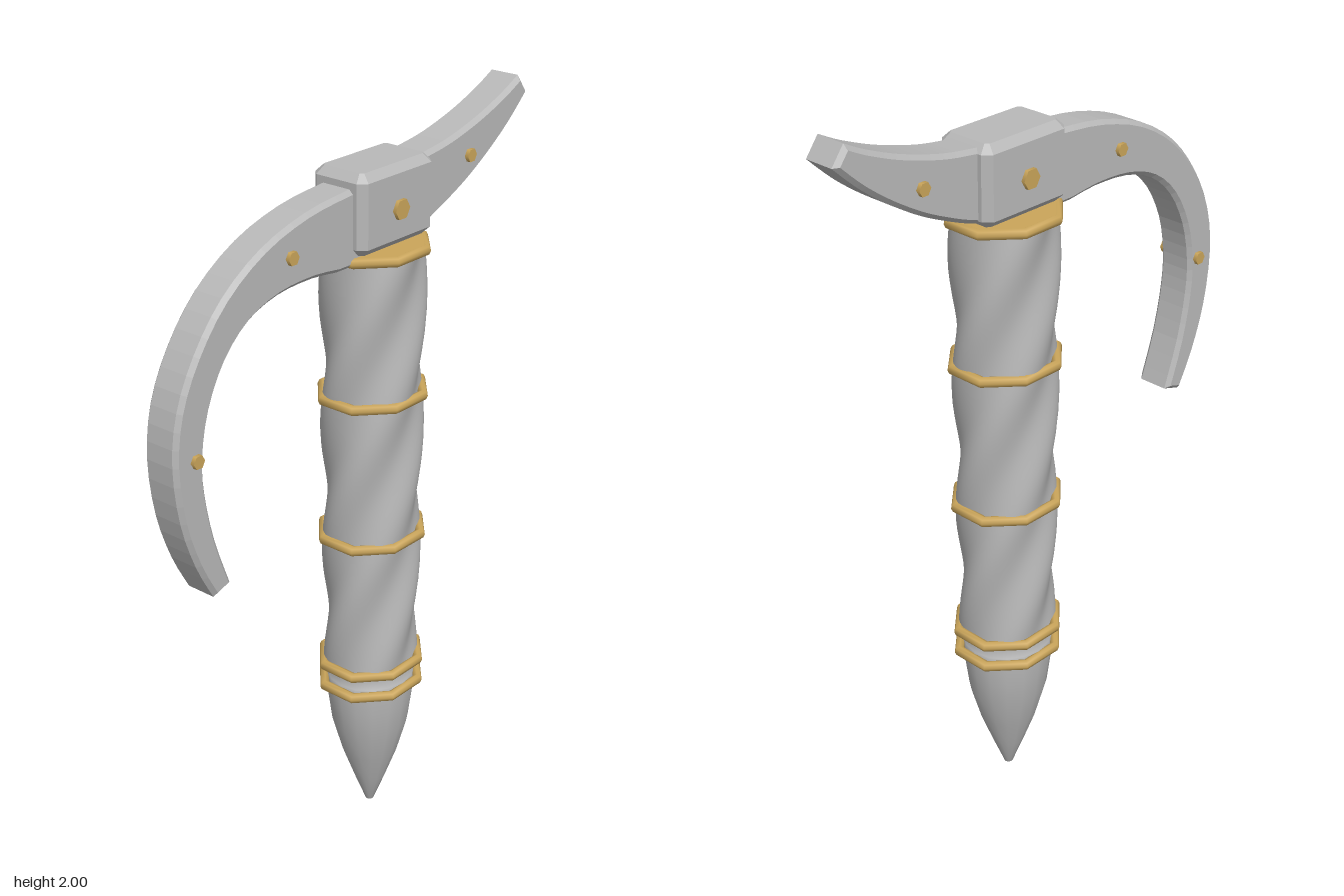
import * as THREE from 'three';

const AXIS = 0.094; // x of the shaft

export function createModel() {
  const model = new THREE.Group();
  const mat = (name, color, extra = {}) =>
    Object.assign(new THREE.MeshStandardMaterial({ color, ...extra }), { name });
  const steel = mat('steel', 0xb8b8b8);
  const gold = mat('gold', 0xcaa55a);

  const add = (name, geometry, material, x = 0, y = 0, z = 0) => {
    const mesh = new THREE.Mesh(geometry, material);
    mesh.name = name;
    mesh.position.set(x, y, z);
    model.add(mesh);
    return mesh;
  };

  // Four-lobed twisted shaft
  const bottom = 0.49, top = 1.68;
  const shaft = new THREE.CylinderGeometry(1, 1, top - bottom, 48, 48, true);
  shaft.translate(0, (top + bottom) / 2, 0);
  const p = shaft.attributes.position;
  for (let i = 0; i < p.count; i++) {
    const y = p.getY(i);
    const angle = Math.atan2(p.getX(i), p.getZ(i));
    const twist = ((y - 1.37) / 0.36) * (Math.PI / 2);
    const base = 0.128 + 0.007 * (y - bottom) / (top - bottom);
    const r = base * (1 + 0.07 * Math.cos(4 * (angle - twist)));
    p.setXYZ(i, r * Math.sin(angle), y, r * 0.91 * Math.cos(angle));
  }
  shaft.computeVertexNormals();
  // Match the normals on both sides of the seam
  const n = shaft.attributes.normal;
  const a = new THREE.Vector3(), b = new THREE.Vector3();
  for (let row = 0; row <= 48; row++) {
    const i = row * 49, j = i + 48;
    a.fromBufferAttribute(n, i).add(b.fromBufferAttribute(n, j)).normalize();
    n.setXYZ(i, a.x, a.y, a.z);
    n.setXYZ(j, a.x, a.y, a.z);
  }
  add('twistedShaft', shaft, steel, AXIS);

  // Pointed tip with a narrow neck
  const profile = [[0, 0], [0.012, 0.005], [0.045, 0.09], [0.08, 0.185], [0.108, 0.285],
    [0.118, 0.36], [0.125, 0.43], [0.122, 0.445], [0.108, 0.47], [0.122, 0.495]];
  const tip = new THREE.LatheGeometry(profile.map(([x, y]) => new THREE.Vector2(x, y)), 16);
  tip.scale(1.02, 1, 0.95);
  add('tip', tip, steel, AXIS);

  // Octagonal bands around the shaft
  for (const y of [0.43, 0.495, 0.885, 1.285, 1.672]) {
    const band = new THREE.TorusGeometry(0.136, 0.014, 8, 8);
    band.rotateZ(Math.PI / 8).rotateX(Math.PI / 2).scale(1.06, 1, 0.96);
    add('band', band, gold, AXIS, y);
  }
  const plate = new THREE.CylinderGeometry(0.136, 0.136, 0.016, 8);
  plate.rotateY(Math.PI / 8).scale(1.06, 1, 0.96);
  add('topPlate', plate, gold, AXIS, 1.677);

  // Bevelled block joining the shaft and the two arms
  const w = 0.138, d = 0.083, c = 0.02;
  const block = new THREE.ExtrudeGeometry(
    new THREE.Shape([[-w + c, -d], [w - c, -d], [w, -d + c], [w, d - c],
      [w - c, d], [-w + c, d], [-w, d - c], [-w, -d + c]].map(([x, y]) => new THREE.Vector2(x, y))),
    { depth: 0.164, bevelThickness: 0.02, bevelSize: 0.02, bevelOffset: -0.02, bevelSegments: 1 });
  block.rotateX(-Math.PI / 2);
  add('headBlock', block, steel, AXIS, 1.708);

  // Curved arms: smooth upper and lower edges joined at square ends
  const arm = (name, upper, lower) => {
    const edge = (pts, count) =>
      new THREE.SplineCurve(pts.map(([x, y]) => new THREE.Vector2(x, y))).getPoints(count);
    const shape = new THREE.Shape([...edge(upper, 30), ...edge(lower, 30)]);
    const half = 0.052, bevel = 0.011;
    const geometry = new THREE.ExtrudeGeometry(shape, {
      depth: 2 * (half - bevel), bevelThickness: bevel, bevelSize: bevel,
      bevelOffset: -bevel, bevelSegments: 1,
    });
    geometry.translate(0, 0, bevel - half);
    add(name, geometry, steel);
  };
  arm('hookedArm',
    [[0.06, 1.86], [-0.05, 1.855], [-0.2, 1.838], [-0.35, 1.792], [-0.48, 1.71], [-0.575, 1.6],
      [-0.635, 1.48], [-0.655, 1.35], [-0.638, 1.2], [-0.595, 1.07], [-0.542, 0.968]],
    [[-0.486, 0.986], [-0.532, 1.12], [-0.558, 1.25], [-0.56, 1.35], [-0.535, 1.46],
      [-0.48, 1.56], [-0.4, 1.63], [-0.3, 1.665], [-0.18, 1.672], [-0.05, 1.662], [0.06, 1.7]]);
  arm('raisedArm',
    [[0.12, 1.87], [0.22, 1.882], [0.33, 1.898], [0.45, 1.93], [0.55, 1.968], [0.615, 2.0]],
    [[0.651, 1.953], [0.57, 1.88], [0.47, 1.81], [0.36, 1.75], [0.22, 1.697], [0.12, 1.7]]);

  // Hexagonal rivets on both faces
  const rivets = [[-0.59, 1.35, 0.018, 0.063], [-0.262, 1.748, 0.018, 0.063],
    [0.405, 1.84, 0.018, 0.063], [AXIS, 1.783, 0.027, 0.093]];
  for (const [x, y, r, reach] of rivets) {
    for (const side of [1, -1]) {
      const rivet = new THREE.CylinderGeometry(r, r, 0.03, 6);
      rivet.rotateY(Math.PI / 6).rotateX(Math.PI / 2);
      add('rivet', rivet, gold, x, y, side * (reach - 0.015));
    }
  }
  return model;
}
